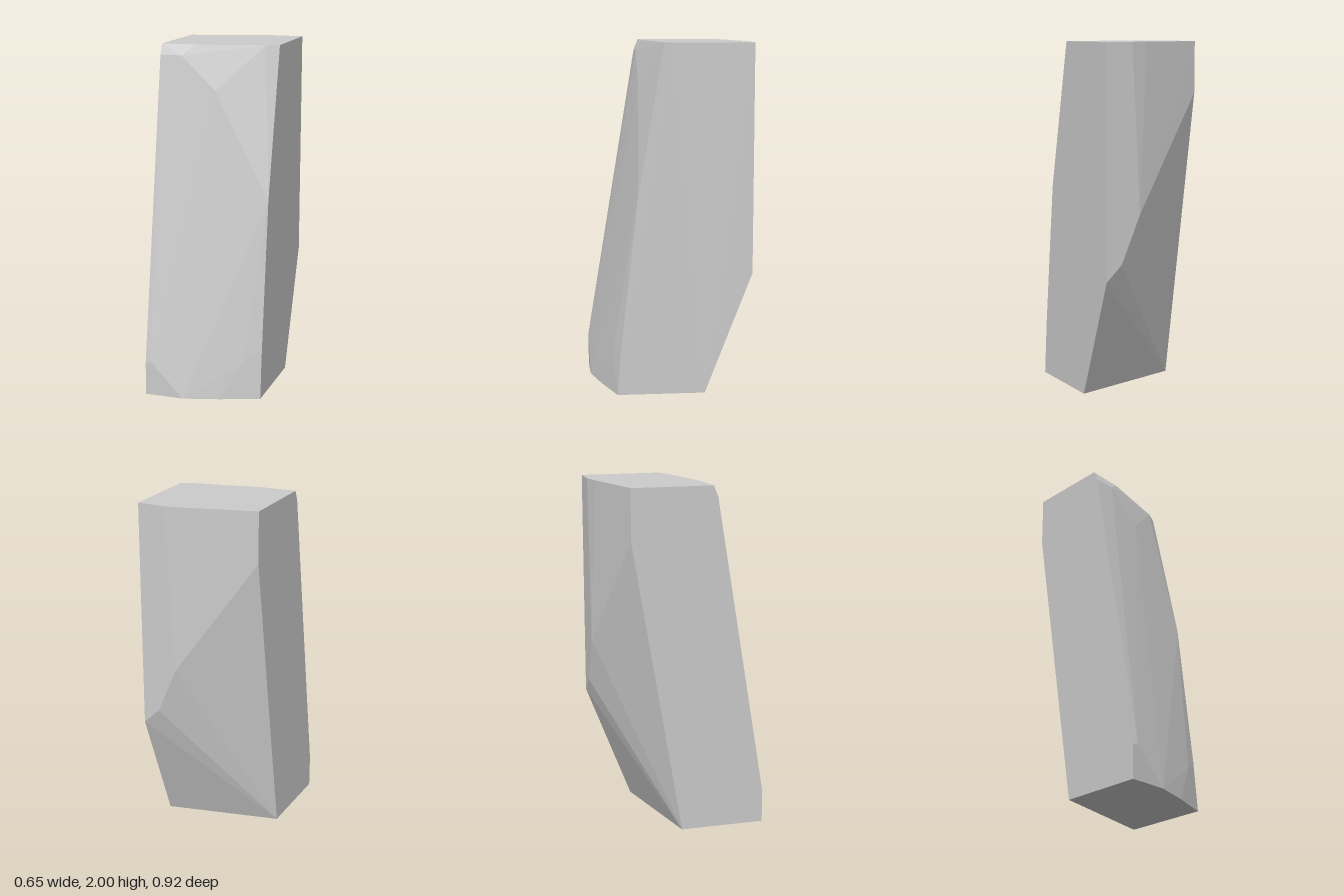
import * as THREE from 'three';
import { ConvexGeometry } from 'three/addons/geometries/ConvexGeometry.js';

// Half the width between the two flat sides
const W = 0.325;

// Corners as [x, y, z], grouped by region of the faceted block
const corners = {
  topRim: [
    [W, 2, 0], [0.255, 2, 0.035], [-0.13, 2, 0.13], [-W, 2, 0.145],
    [-W, 2, -0.32], [0.06, 2, -0.436], [0.165, 2, -0.46], [W, 2, -0.46],
  ],
  front: [
    [-W, 1.94, 0.17], [-0.2, 1.94, 0.166], [0, 1.75, 0.167],
    [W, 1.15, 0.19], [W, 0.3, 0.287], [0.23, 0.22, 0.335],
    [-0.29, 0.2, 0.46], [-W, 0.19, 0.46],
  ],
  back: [
    [0.115, 1.06, -0.46], [0.23, 0.79, -0.46], [W, 0.7, -0.46], [-W, 1.71, -0.32],
  ],
  base: [
    [-W, 0, 0.46], [-0.1, 0, 0.455], [0.1, 0, 0.395], [W, 0, 0.312],
    [W, 0, -0.19], [-W, 0, -0.03],
  ],
};

export function createModel() {
  const group = new THREE.Group();
  group.name = 'facetedBlock';

  // Leaning block with chipped front and back, flat sides, top and base
  const points = Object.values(corners).flat().map((p) => new THREE.Vector3(...p));
  const block = new THREE.Mesh(
    new ConvexGeometry(points),
    new THREE.MeshStandardMaterial({ color: 0xcccccc, flatShading: true }),
  );
  block.name = 'stoneBlock';
  group.add(block);

  return group;
}
